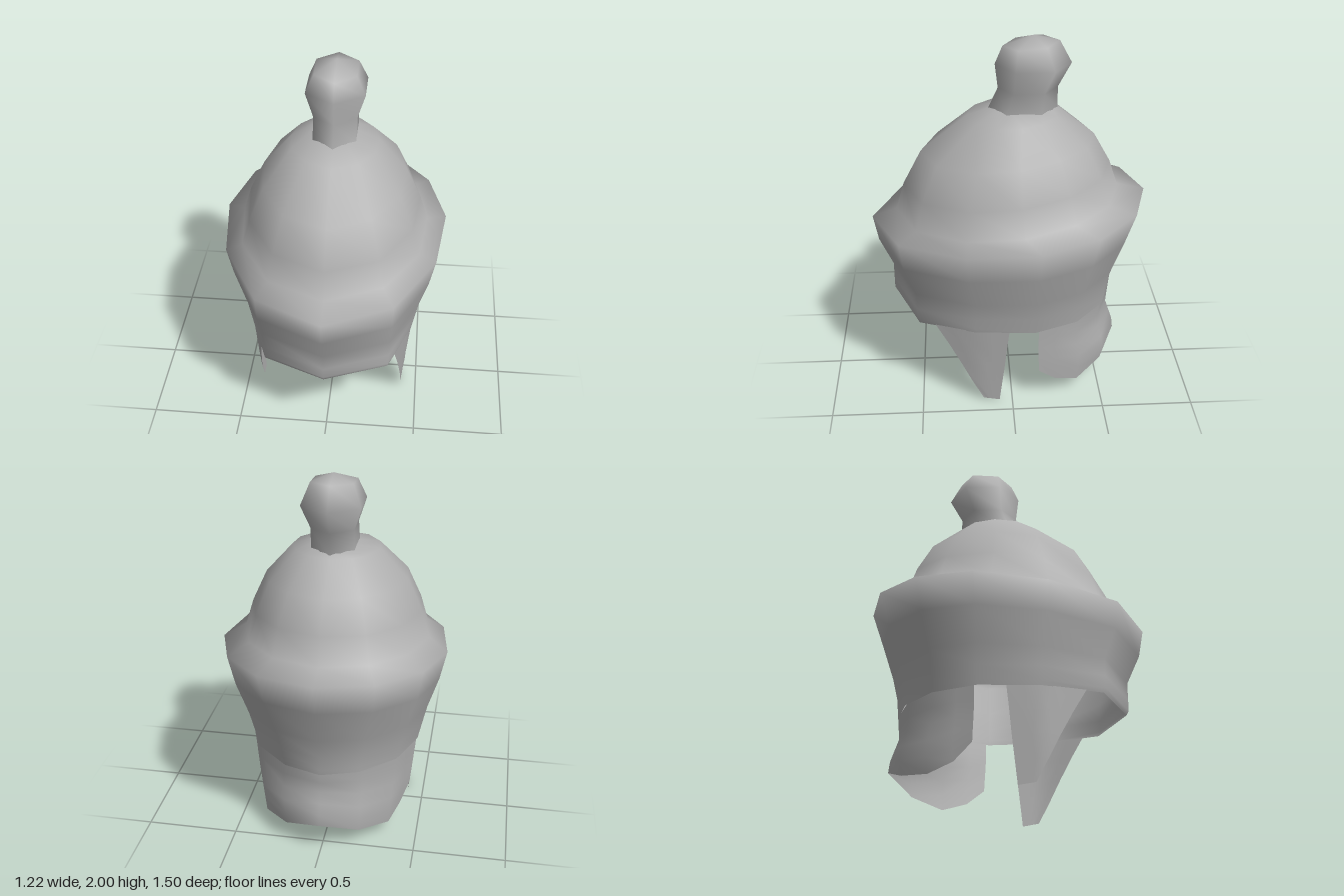
import * as THREE from 'three';
import { mergeVertices } from 'three/addons/utils/BufferGeometryUtils.js';

const { lerp, degToRad } = THREE.MathUtils;

// Smooth skin over rows of points (top to bottom, counter-clockwise from above).
function skin(rows) {
  const n = rows[0].length, index = [];
  for (let r = 0; r < rows.length - 1; r++) {
    for (let c = 0; c < n - 1; c++) {
      const a = r * n + c, b = a + n;
      index.push(a, b, b + 1, a, b + 1, a + 1);
    }
  }
  let g = new THREE.BufferGeometry().setFromPoints(rows.flat());
  g.setIndex(index);
  g = mergeVertices(g, 1e-4);
  g.computeVertexNormals();
  return g;
}

// Linear lookup in [y, value] pairs sorted from high to low.
function lookup(table, y) {
  if (y >= table[0][0]) return table[0][1];
  for (let i = 1; i < table.length; i++) {
    const [y0, v0] = table[i - 1], [y1, v1] = table[i];
    if (y >= y1) return lerp(v1, v0, (y - y1) / (y0 - y1));
  }
  return table[table.length - 1][1];
}

// Outline of the band and flaps by height: front reach, back reach, half width.
const FRONT = [[0.98, 0.75], [0.82, 0.72], [0.68, 0.65], [0.52, 0.65], [0.49, 0.635]];
const BACK = [[1.11, 0.75], [0.88, 0.67], [0.65, 0.595], [0.38, 0.57], [0.22, 0.625], [0.12, 0.605]];
const HALF = [[1.05, 0.615], [0.92, 0.59], [0.7, 0.52], [0.5, 0.475], [0.3, 0.455], [0, 0.425]];
const CENTRE = -0.07;

// Facet corners around the hat, 0 at the front.
const halfTurn = [0, 36, 68, 96, 124, 151, 180];
const corners = [...halfTurn, ...halfTurn.slice(0, -1).reverse().map(a => 360 - a)];

function corner(deg, y) {
  const s = Math.sin(degToRad(deg)), c = Math.cos(degToRad(deg));
  const low = THREE.MathUtils.clamp((1 - y) / 0.5, 0, 1);
  const power = lerp(1, c > 0 ? 0.65 : 1.2, low);
  const reach = c > 0 ? lookup(FRONT, y) - CENTRE : lookup(BACK, y) + CENTRE;
  const x = Math.sign(s) * Math.pow(Math.abs(s), power) * lookup(HALF, y);
  return new THREE.Vector3(x, y, CENTRE + reach * c);
}

// Point on the faceted wall at any angle.
function wall(deg, y) {
  let i = 1;
  while (i < corners.length - 1 && deg > corners[i]) i++;
  const t = (deg - corners[i - 1]) / (corners[i] - corners[i - 1]);
  return corner(corners[i - 1], y).lerp(corner(corners[i], y), t);
}

// Tilted oval ring given its front and back points [z, y] and half width.
function ring([zf, yf], [zb, yb], half, angles) {
  return angles.map(deg => {
    const s = Math.sin(degToRad(deg)), k = (1 + Math.cos(degToRad(deg))) / 2;
    return new THREE.Vector3(half * s, lerp(yb, yf, k), lerp(zb, zf, k));
  });
}

export function createModel() {
  const group = new THREE.Group();
  const wool = new THREE.MeshStandardMaterial({ color: 0xb0b0b0, side: THREE.DoubleSide });
  wool.name = 'grey wool';
  const add = (name, rows) => {
    const mesh = new THREE.Mesh(skin(rows), wool);
    mesh.name = name;
    group.add(mesh);
  };

  // Dome, brim ledge and headband in one smooth skin
  const dome = [
    [[0.09, 1.615], [-0.25, 1.61], 0.11],
    [[0.22, 1.57], [-0.28, 1.595], 0.235],
    [[0.47, 1.37], [-0.46, 1.45], 0.385],
    [[0.57, 1.18], [-0.55, 1.29], 0.465],
    [[0.615, 1.03], [-0.6, 1.145], 0.51],
  ].map(([f, b, h]) => ring(f, b, h, corners));
  const band = [0, 0.3, 0.63, 0.82, 0.95, 1].map(t => corners.map(deg =>
    corner(deg, lerp(1.045 - 0.065 * Math.cos(degToRad(deg)), 0.495, t))));
  add('crown and brim', [...dome, ...band]);

  // Pointed cheek flaps, one per side
  const angleAt = (z, y) => {
    const c = (z - CENTRE) / (lookup(FRONT, y) - CENTRE);
    return Math.acos(c) * 180 / Math.PI;
  };
  for (const side of [1, -1]) {
    const rows = [0, 0.25, 0.5, 0.75, 1].map(t => {
      const cols = [0, 0.2, 0.4, 0.6, 0.8, 1].map(u => {
        const y = lerp(0.5, lerp(0.02, 0.005, u), t);
        const z = lerp(lerp(0.43, 0.16, t), lerp(0.01, 0.068, t), u);
        const a = angleAt(z, y);
        return wall(side > 0 ? a : 360 - a, y);
      });
      return side > 0 ? cols : cols.reverse();
    });
    add(side > 0 ? 'left cheek flap' : 'right cheek flap', rows);
  }

  // Neck flap with a scalloped lower edge
  const scallop = [[98, 0.215], [109, 0.13], [124, 0.085], [148, 0.12], [180, 0.195]];
  const edge = [...scallop, ...scallop.slice(0, -1).reverse().map(([a, y]) => [360 - a, y])];
  add('neck flap', [0, 0.2, 0.4, 0.6, 0.8, 1].map(t =>
    edge.map(([a, y]) => wall(a, lerp(0.5, y, t)))));

  // Six-sided bobble on a short neck
  const hex = [0, 60, 120, 180, 240, 300, 360];
  const k = 1 / Math.sin(Math.PI / 3);
  add('bobble', [
    [[-0.13, 2], [-0.13, 2], 0],
    [[0.03, 1.945], [-0.265, 1.97], 0.11],
    [[0.07, 1.85], [-0.33, 1.85], 0.155],
    [[0.055, 1.72], [-0.26, 1.72], 0.113],
    [[0.11, 1.6], [-0.26, 1.6], 0.113],
  ].map(([f, b, h]) => ring(f, b, h * k, hex)));

  return group;
}
